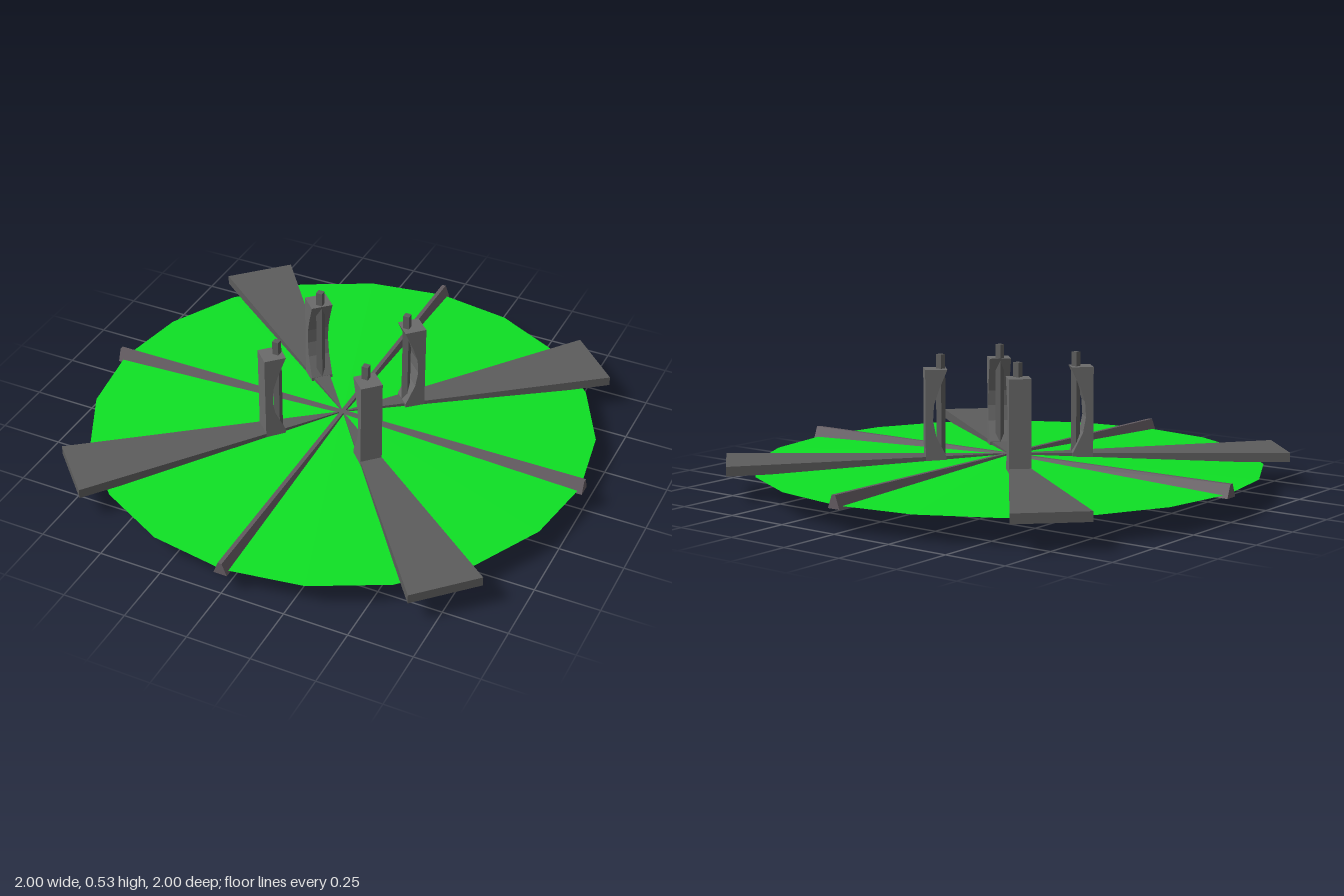
import * as THREE from 'three';

const mat = (color) => new THREE.MeshStandardMaterial({ color, flatShading: true });

// Straight extrusion of a closed outline, centred on its depth
function prism(points, depth) {
  const shape = new THREE.Shape(points.map(([x, y]) => new THREE.Vector2(x, y)));
  return new THREE.ExtrudeGeometry(shape, { depth, bevelEnabled: false }).translate(0, 0, -depth / 2);
}

export function createModel() {
  const model = new THREE.Group();
  const green = mat(0x0ee024);
  const grey = mat(0x5c5c5c);
  const ribGrey = mat(0x625a60);
  const towerGrey = mat(0x6a6a6a);

  const add = (name, geometry, material, parent = model) => {
    const mesh = new THREE.Mesh(geometry, material);
    mesh.name = name;
    parent.add(mesh);
    return mesh;
  };

  // Very shallow twenty-sided cone with a flat underside
  add('disc', new THREE.ConeGeometry(0.985, 0.035, 20).translate(0, 0.1175, 0), green);

  // Two crossing ribs of narrow trapezoid section
  const ribGeo = prism([[-0.027, 0.09], [0.027, 0.09], [0.008, 0.14], [-0.008, 0.14]], 2);
  for (let i = 0; i < 2; i++) add('rib', ribGeo, ribGrey).rotation.y = i * Math.PI / 2;

  // Wedge blade widening from the centre outward
  const bladeGeo = prism([[0, 0], [1.082, -0.141], [1.082, 0.141]], 0.037)
    .rotateX(-Math.PI / 2).translate(0, 0.1205, 0);

  // Tower with a flat outer face and a hollowed inner face
  const towerGeo = prism([
    [0.325, 0.12], [0.325, 0.475], [0.24, 0.475], [0.272, 0.4], [0.292, 0.34],
    [0.296, 0.28], [0.285, 0.22], [0.246, 0.14], [0.246, 0.12],
  ], 0.085);

  // Square pin running through the disc and tower, sides facing x and z
  const pinGeo = new THREE.BoxGeometry(0.025, 0.53, 0.025)
    .rotateY(Math.PI / 4).translate(0.262, 0.265, 0);

  // Four diagonal arms
  for (let i = 0; i < 4; i++) {
    const arm = new THREE.Group();
    arm.name = 'arm';
    arm.rotation.y = Math.PI / 4 + i * Math.PI / 2;
    add('blade', bladeGeo, grey, arm);
    add('tower', towerGeo, towerGrey, arm);
    add('pin', pinGeo, grey, arm);
    model.add(arm);
  }
  return model;
}
